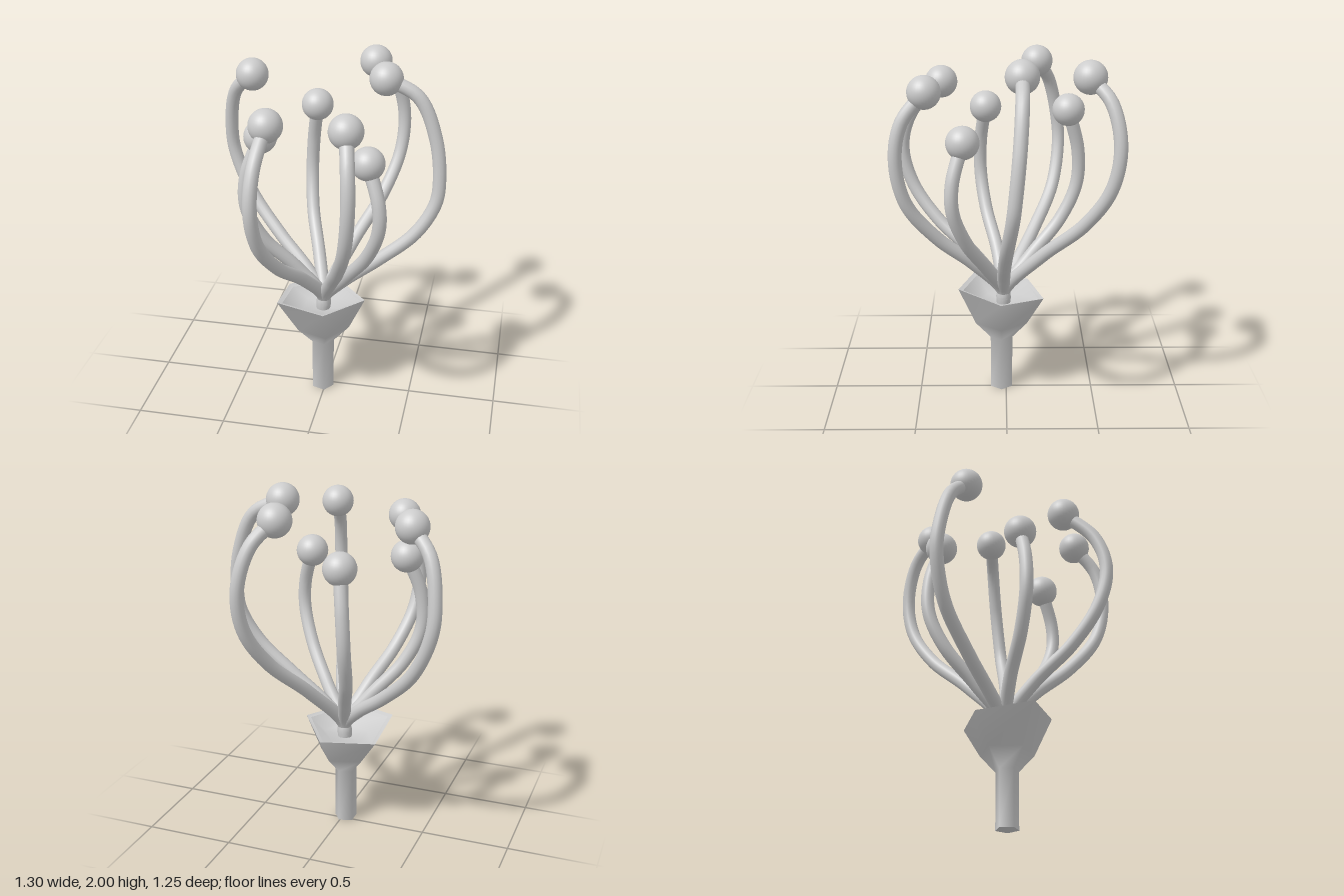
import * as THREE from 'three';

const grey = new THREE.MeshStandardMaterial({ color: 0xcccccc });
grey.name = 'plain grey';

const CX = -0.016, CZ = 0.027;

// Five-sided ring around the stem axis
const ring = (r, y) => Array.from({ length: 5 }, (_, k) => {
  const a = (k * Math.PI * 2) / 5;
  return [CX + r * Math.cos(a), y, CZ - r * Math.sin(a)];
});

// Scale a ring towards the axis and lower it
const inset = (pts, s, drop) =>
  pts.map(([x, y, z]) => [CX + (x - CX) * s, y - drop, CZ + (z - CZ) * s]);

// Join successive rings into a smooth skin
function loft(name, rings) {
  const n = 5, index = [];
  for (let i = 0; i < rings.length - 1; i++) {
    for (let k = 0; k < n; k++) {
      const a = i * n + k, b = i * n + ((k + 1) % n);
      index.push(a, b, b + n, a, b + n, a + n);
    }
  }
  const g = new THREE.BufferGeometry();
  g.setAttribute('position', new THREE.Float32BufferAttribute(rings.flat(2), 3));
  g.setIndex(index);
  g.computeVertexNormals();
  const mesh = new THREE.Mesh(g, grey);
  mesh.name = name;
  return mesh;
}

// Each stalk: path points from the cup outwards, the last one is the ball centre
const stalks = [
  [[0.12, 0.87, -0.2], [0.26, 1.1, -0.42], [0.335, 1.32, -0.55], [0.343, 1.55, -0.588], [0.285, 1.77, -0.54], [0.195, 1.885, -0.435]],
  [[0.1, 0.72, 0.015], [0.3, 0.88, 0.01], [0.5, 1.06, -0.005], [0.6, 1.24, -0.03], [0.612, 1.38, -0.045], [0.58, 1.6, -0.065], [0.48, 1.82, -0.078], [0.305, 1.91, -0.08]],
  [[-0.12, 0.73, -0.06], [-0.3, 0.88, -0.165], [-0.5, 1.09, -0.28], [-0.605, 1.33, -0.318], [-0.615, 1.5, -0.305], [-0.57, 1.72, -0.255], [-0.45, 1.85, -0.18]],
  [[-0.07, 0.8, -0.14], [-0.14, 1.0, -0.31], [-0.163, 1.2, -0.4], [-0.155, 1.4, -0.405], [-0.12, 1.64, -0.345]],
  [[-0.16, 0.8, 0.05], [-0.33, 1.0, 0.115], [-0.417, 1.2, 0.147], [-0.41, 1.4, 0.145], [-0.335, 1.61, 0.115]],
  [[-0.095, 0.8, 0.18], [-0.19, 0.98, 0.39], [-0.255, 1.18, 0.535], [-0.273, 1.4, 0.588], [-0.267, 1.6, 0.53], [-0.24, 1.775, 0.36]],
  [[0.065, 0.8, 0.18], [0.135, 0.98, 0.38], [0.2, 1.2, 0.54], [0.225, 1.45, 0.588], [0.215, 1.65, 0.55], [0.185, 1.805, 0.43]],
  [[0.13, 0.8, 0.11], [0.265, 1.0, 0.22], [0.337, 1.2, 0.285], [0.333, 1.35, 0.285], [0.265, 1.555, 0.23]],
];

export function createModel() {
  const group = new THREE.Group();
  group.name = 'stalkCluster';

  // Stem flaring into an uneven five-cornered cup
  const rim = [
    [0.23, 0.615, 0.03], [0.05, 0.58, -0.213], [-0.248, 0.58, -0.13],
    [-0.248, 0.63, 0.182], [0.035, 0.632, 0.272],
  ];
  const lip = inset(rim, 0.89, 0.008);
  group.add(
    loft('stemAndCup', [ring(0.066, 0), ring(0.066, 0.32), ring(0.155, 0.42), rim]),
    loft('stemBottom', [ring(0, 0), ring(0.066, 0)]),
    loft('cupRim', [rim, lip]),
    loft('cupInside', [lip, ring(0.13, 0.54), ring(0, 0.53)]),
  );

  // Curved stalks, each ending in a ball
  const ball = new THREE.SphereGeometry(0.09, 32, 20);
  for (const path of stalks) {
    const points = [[-0.016, 0.5, 0.015], [-0.012, 0.6, 0.015], ...path]
      .map((p) => new THREE.Vector3(...p));
    const curve = new THREE.CatmullRomCurve3(points);
    const stalk = new THREE.Mesh(new THREE.TubeGeometry(curve, 48, 0.037, 14), grey);
    stalk.name = 'stalk';
    const tip = new THREE.Mesh(ball, grey);
    tip.name = 'stalkBall';
    tip.position.copy(points[points.length - 1]);
    group.add(stalk, tip);
  }
  return group;
}
